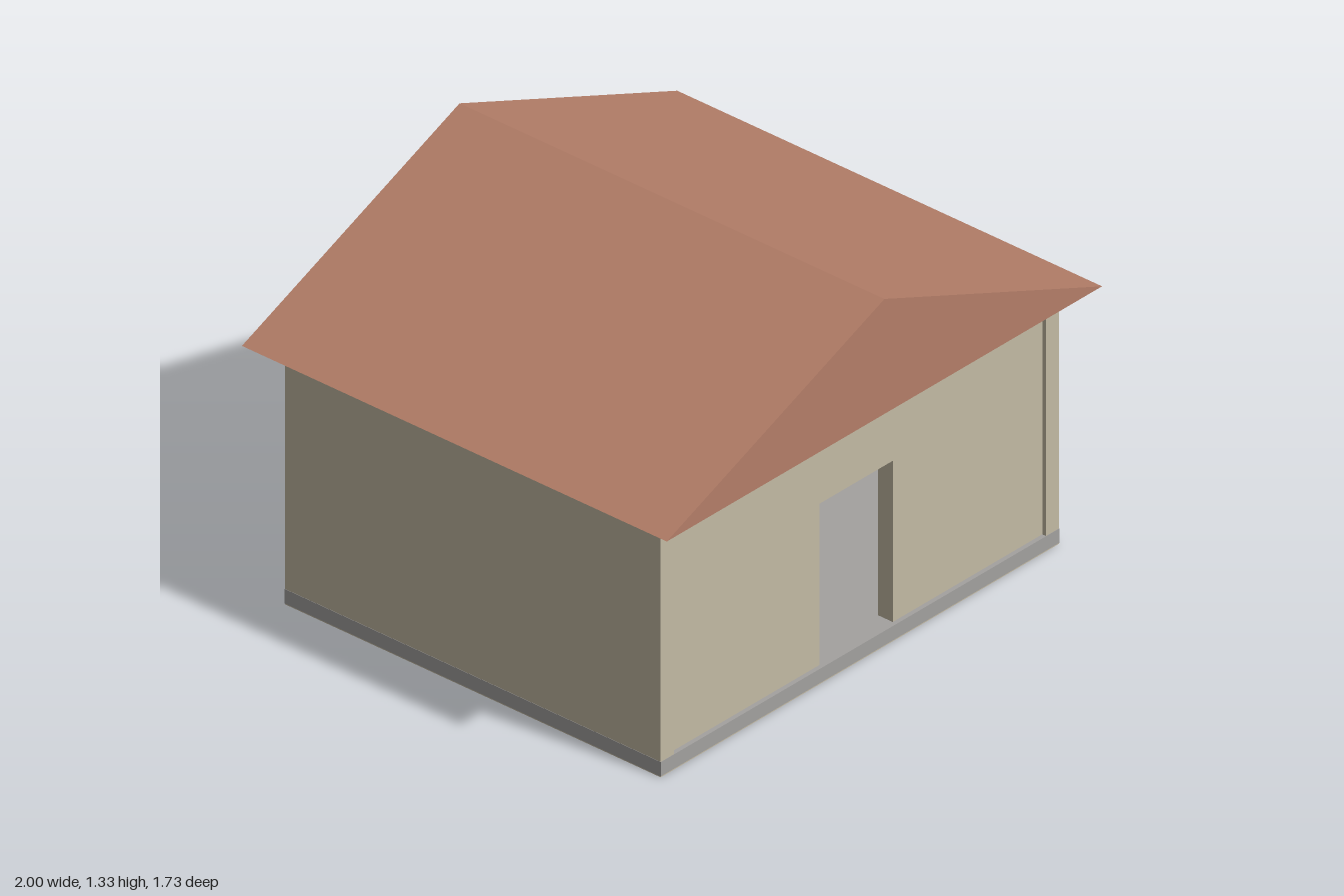
import * as THREE from 'three';

const mat = (name, color) => {
  const m = new THREE.MeshStandardMaterial({ color });
  m.name = name;
  return m;
};

export function createModel() {
  const house = new THREE.Group();
  house.name = 'house';
  const plaster = mat('plaster', 0xc3baa4);
  const concrete = mat('concrete', 0xa3a19f);
  const tile = mat('roofTile', 0xb47e68);

  const W = 0.915, D = 0.765, EAVE = 0.92, FLOOR = 0.055, T = 0.06, RECESS = 0.015;

  const add = (name, geometry, material) => {
    const m = new THREE.Mesh(geometry, material);
    m.name = name;
    house.add(m);
    return m;
  };
  // Box given by its minimum and maximum corners
  const box = (name, material, x0, x1, y0, y1, z0, z1) =>
    add(name, new THREE.BoxGeometry(x1 - x0, y1 - y0, z1 - z0), material)
      .position.set((x0 + x1) / 2, (y0 + y1) / 2, (z0 + z1) / 2);

  // Floor slab, just proud of the walls so its edge shows as a band
  const P = 0.001;
  box('floorSlab', concrete, -W - P, W + P, 0.004, FLOOR, -D - P, D + P);

  // Side and back walls
  box('rightWall', plaster, -W, -W + T, 0, EAVE, -D, D);
  box('leftWall', plaster, W - T, W, 0, EAVE, -D, D);
  box('backWall', plaster, -W + T, W - T, 0, EAVE, -D, -D + T);

  // Front wall, slightly recessed, with an open doorway
  const w = W - T, d = 0.168, top = 0.63;
  const outline = new THREE.Shape([
    [-w, FLOOR], [-d, FLOOR], [-d, top], [d, top],
    [d, FLOOR], [w, FLOOR], [w, EAVE], [-w, EAVE],
  ].map(([x, y]) => new THREE.Vector2(x, y)));
  add('frontWall', new THREE.ExtrudeGeometry(outline, { depth: T, bevelEnabled: false }), plaster)
    .position.z = D - RECESS - T;
  box('frontFooting', plaster, -w, w, 0, 0.03, D - T, D);

  // Solid gable roof with overhangs
  const R = 0.865;
  const gable = new THREE.Shape([
    new THREE.Vector2(-1, EAVE), new THREE.Vector2(1, EAVE), new THREE.Vector2(0, 1.33),
  ]);
  add('roof', new THREE.ExtrudeGeometry(gable, { depth: 2 * R, bevelEnabled: false }), tile)
    .position.z = -R;

  return house;
}
